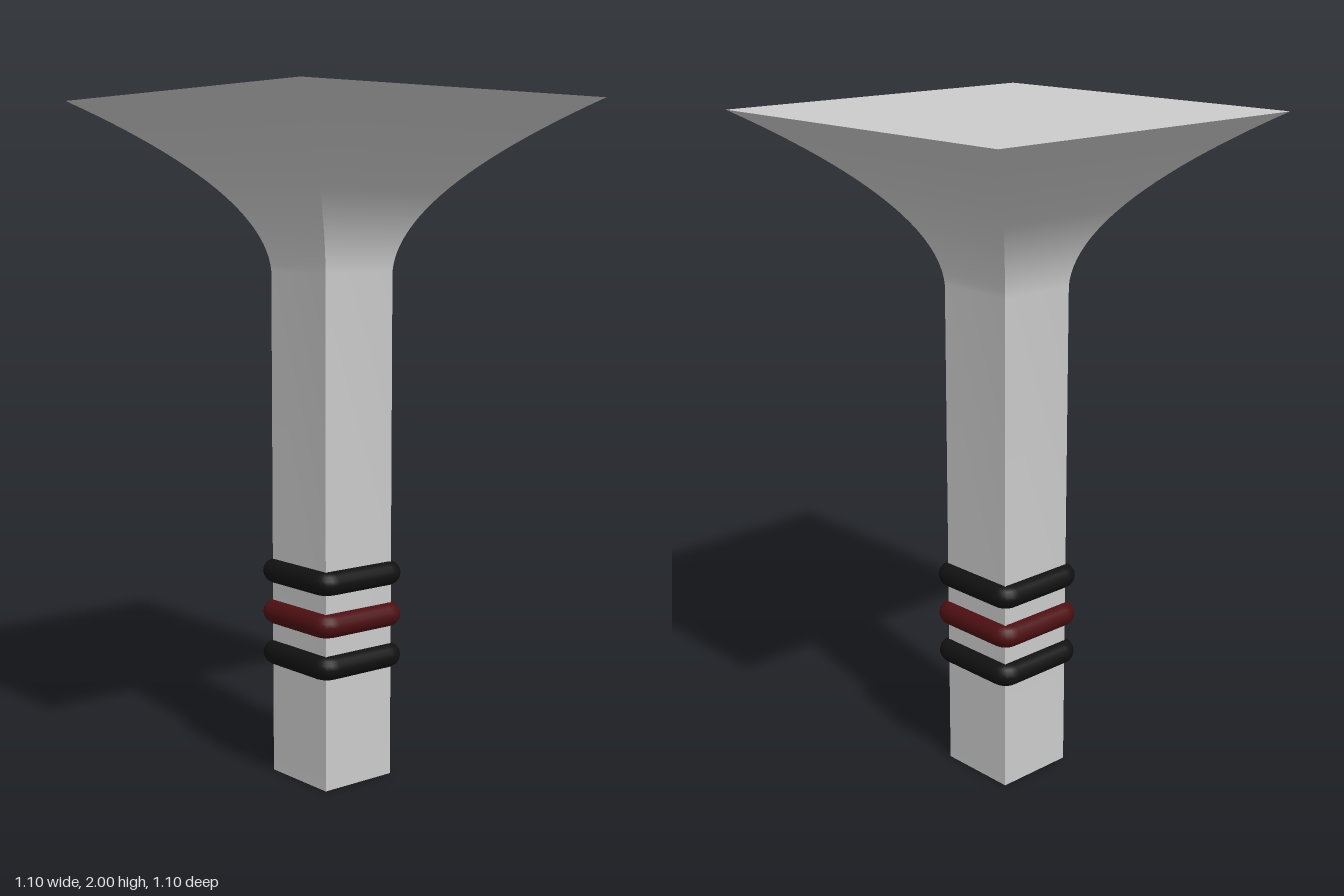
import * as THREE from 'three';
import { toCreasedNormals } from 'three/addons/utils/BufferGeometryUtils.js';

const HALF = 0.125; // half width of the post

// Closed square path with rounded corners, lying flat
function squarePath(h, r) {
  const path = new THREE.CurvePath();
  const v = (x, z, a) => new THREE.Vector3(x, 0, z).applyAxisAngle(new THREE.Vector3(0, 1, 0), a);
  for (let i = 0; i < 4; i++) {
    const a = i * Math.PI / 2;
    path.add(new THREE.LineCurve3(v(h, h - r, a), v(h, r - h, a)));
    path.add(new THREE.QuadraticBezierCurve3(v(h, r - h, a), v(h, -h, a), v(h - r, -h, a)));
  }
  return path;
}

export function createModel() {
  const group = new THREE.Group();

  // Square post flaring into a wide flat top, turned with four sides
  const flare = new THREE.QuadraticBezierCurve(
    new THREE.Vector2(HALF, 1.51), new THREE.Vector2(0.14, 1.74), new THREE.Vector2(0.55, 2));
  const profile = [
    new THREE.Vector2(0, 0), new THREE.Vector2(HALF, 0),
    ...flare.getPoints(24), new THREE.Vector2(0, 2),
  ].map(p => new THREE.Vector2(p.x * Math.SQRT2, p.y));
  const column = new THREE.Mesh(
    toCreasedNormals(new THREE.LatheGeometry(profile, 4, Math.PI / 4), 0.5),
    new THREE.MeshStandardMaterial({ color: 0xcccccc }));
  column.name = 'flaredColumn';
  group.add(column);

  // Three rounded bands around the lower post
  const bandGeometry = new THREE.TubeGeometry(squarePath(0.127, 0.025), 160, 0.035, 16, true);
  const bands = [
    ['lowerBand', 0.37, 0x111111],
    ['middleBand', 0.495, 0x4d0f12],
    ['upperBand', 0.62, 0x111111],
  ];
  for (const [name, y, color] of bands) {
    const band = new THREE.Mesh(bandGeometry, new THREE.MeshStandardMaterial({ color }));
    band.name = name;
    band.position.y = y;
    group.add(band);
  }
  return group;
}
